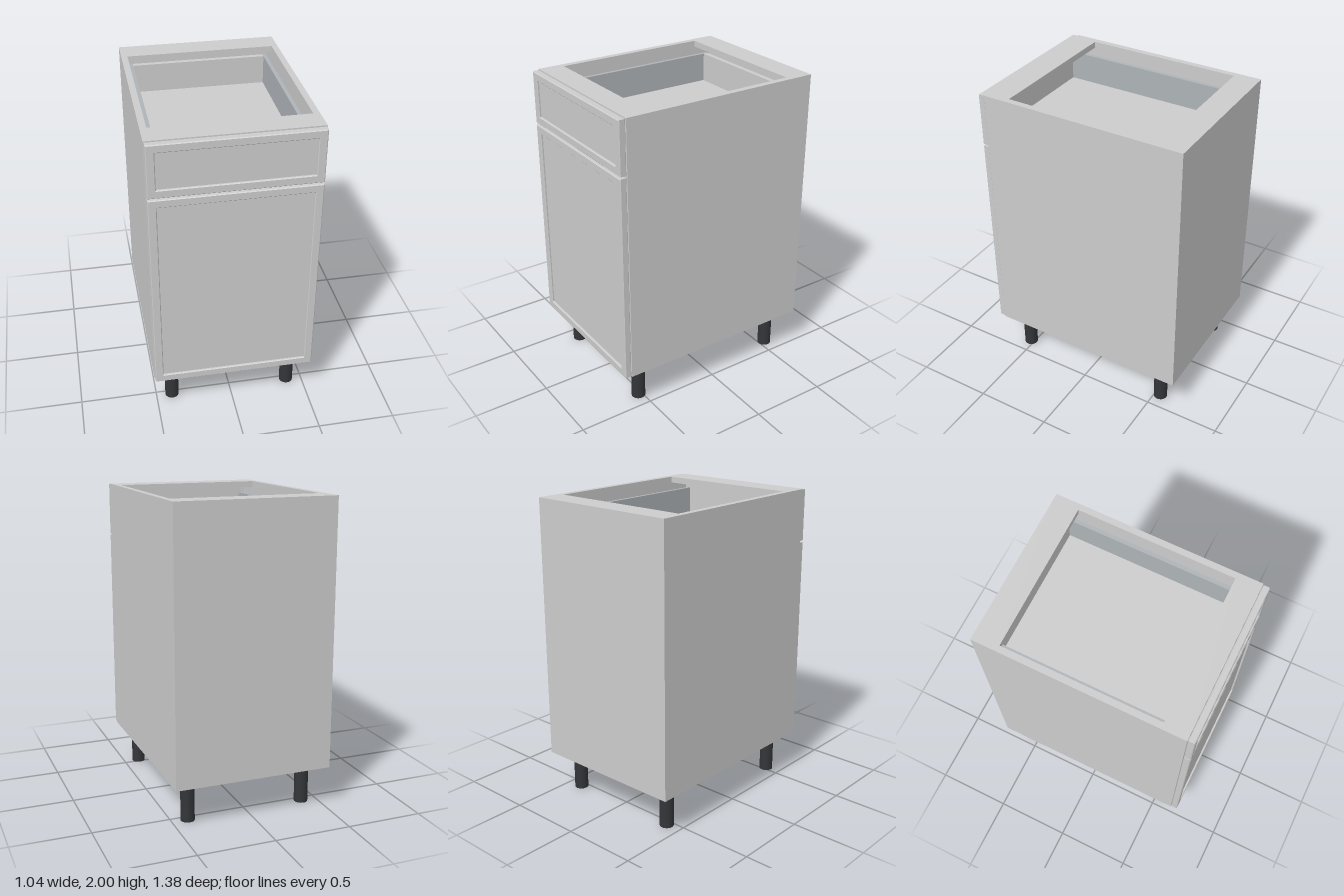
import * as THREE from 'three';

const grey = new THREE.MeshStandardMaterial({ color: 0xcccccc });
const metal = new THREE.MeshStandardMaterial({ color: 0xadb3b7 });
const black = new THREE.MeshStandardMaterial({ color: 0x333538 });

// Box given by its min and max on each axis
function box(parent, name, [x0, x1], [y0, y1], [z0, z1], material = grey) {
  const mesh = new THREE.Mesh(new THREE.BoxGeometry(x1 - x0, y1 - y0, z1 - z0), material);
  mesh.position.set((x0 + x1) / 2, (y0 + y1) / 2, (z0 + z1) / 2);
  mesh.name = name;
  parent.add(mesh);
  return mesh;
}

function rectangle(path, x, y0, y1) {
  path.moveTo(-x, y0);
  path.lineTo(x, y0);
  path.lineTo(x, y1);
  path.lineTo(-x, y1);
  path.closePath();
  return path;
}

// Framed front: chamfered border around a recessed flat panel
function framedFront(name, y0, y1) {
  const group = new THREE.Group();
  group.name = name;
  const w = 0.515, border = 0.052, bevel = 0.005, back = 0.646, front = 0.69;
  const shape = rectangle(new THREE.Shape(), w, y0, y1);
  shape.holes.push(rectangle(new THREE.Path(), w - border, y0 + border, y1 - border));
  const frame = new THREE.Mesh(new THREE.ExtrudeGeometry(shape, {
    depth: front - back - 2 * bevel, bevelEnabled: true, bevelSegments: 1,
    bevelSize: bevel, bevelThickness: bevel, bevelOffset: -bevel,
  }), grey);
  frame.position.z = back + bevel;
  frame.name = name + 'Frame';
  group.add(frame);
  const inset = border - 0.01;
  box(group, name + 'Panel', [-w + inset, w - inset], [y0 + inset, y1 - inset], [back + 0.002, front - 0.014]);
  return group;
}

export function createModel() {
  const model = new THREE.Group();
  model.name = 'baseCabinet';

  // Carcass
  const W = 0.52, T = 0.04, inner = W - T;
  const bottom = 0.27, top = 2, back = -0.69, front = 0.645;
  const carcass = new THREE.Group();
  carcass.name = 'carcass';
  model.add(carcass);
  box(carcass, 'leftSide', [inner, W], [bottom, top], [back, front]);
  box(carcass, 'rightSide', [-W, -inner], [bottom, top], [back, front]);
  box(carcass, 'bottomPanel', [-inner, inner], [bottom, bottom + T], [back, front]);
  box(carcass, 'backPanel', [-inner, inner], [bottom + T, top - T], [back, back + T]);
  box(carcass, 'backRail', [-inner, inner], [top - T, top], [back, -0.525]);
  box(carcass, 'frontRail', [-inner, inner], [top - T, top], [0.488, front]);

  // Drawer box with metal sides
  const drawer = new THREE.Group();
  drawer.name = 'drawer';
  model.add(drawer);
  for (const [side, s] of [['left', 1], ['right', -1]]) {
    const wall = box(drawer, side + 'DrawerSide', [0.44, 0.465], [1.69, 1.91], [-0.61, front], metal);
    wall.position.x *= s;
  }
  box(drawer, 'drawerBottom', [-0.44, 0.44], [1.69, 1.72], [-0.61, front]);
  box(drawer, 'drawerBack', [-0.44, 0.44], [1.72, 1.91], [-0.61, -0.577]);
  drawer.add(framedFront('drawerFront', 1.655, 1.995));

  // Door below the drawer
  model.add(framedFront('door', 0.273, 1.643));

  // Round legs
  for (const x of [-0.395, 0.395]) {
    for (const z of [-0.54, 0.525]) {
      const leg = new THREE.Mesh(new THREE.CylinderGeometry(0.045, 0.045, bottom, 32), black);
      leg.position.set(x, bottom / 2, z);
      leg.name = z > 0 ? 'frontLeg' : 'backLeg';
      model.add(leg);
    }
  }
  return model;
}
